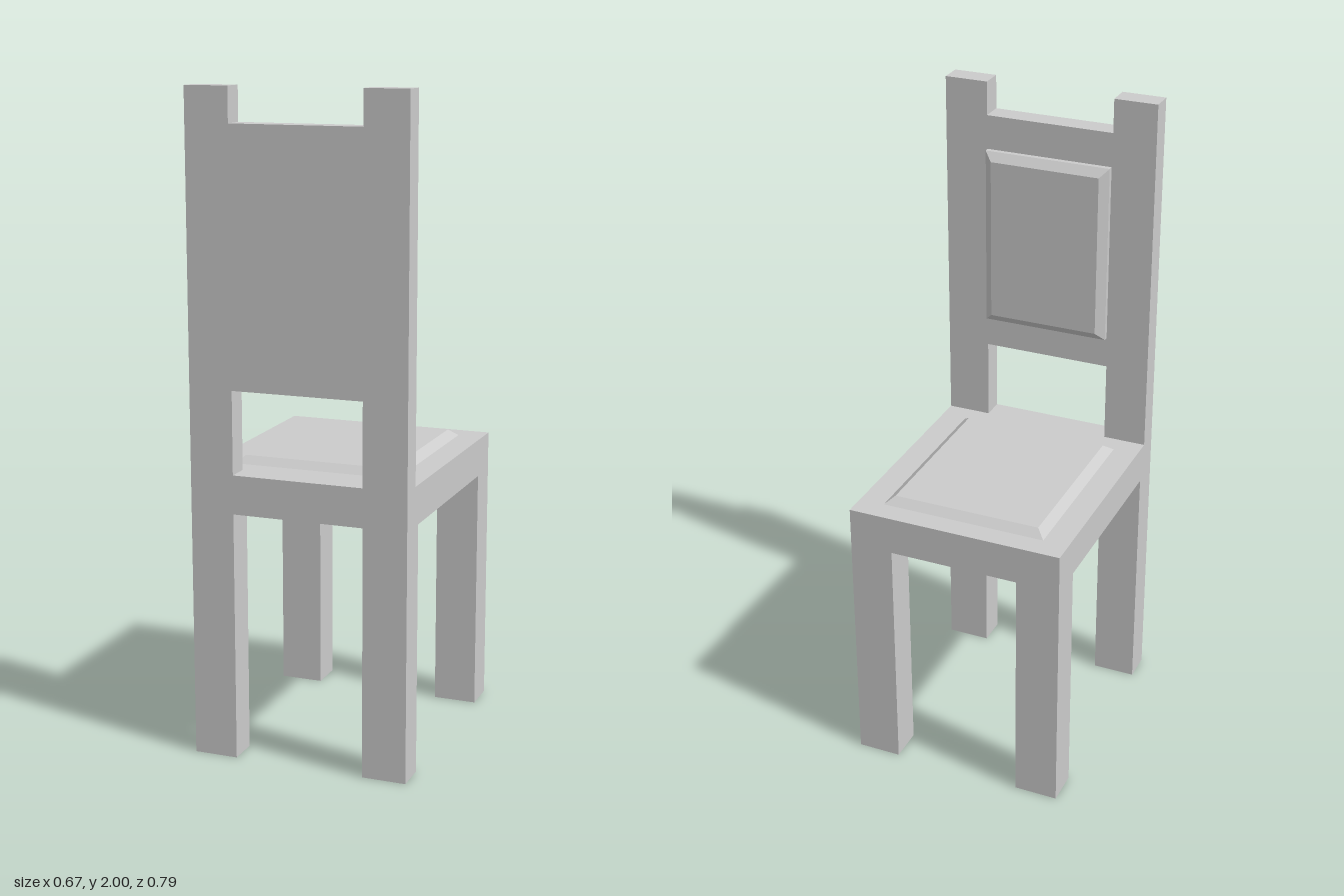
import * as THREE from 'three';

const material = new THREE.MeshStandardMaterial({ color: 0xcccccc, flatShading: true });

// Box given by its [min, max] range on each axis
function block(name, [x0, x1], [y0, y1], [z0, z1]) {
  const geometry = new THREE.BoxGeometry(x1 - x0, y1 - y0, z1 - z0);
  geometry.translate((x0 + x1) / 2, (y0 + y1) / 2, (z0 + z1) / 2);
  const mesh = new THREE.Mesh(geometry, material);
  mesh.name = name;
  return mesh;
}

// Pull one face of a block inwards, turning its sides into bevels
function bevel(mesh, axis, faceValue, inset) {
  const p = mesh.geometry.attributes.position;
  mesh.geometry.computeBoundingBox();
  const centre = mesh.geometry.boundingBox.getCenter(new THREE.Vector3());
  const v = new THREE.Vector3();
  for (let i = 0; i < p.count; i++) {
    v.fromBufferAttribute(p, i);
    if (Math.abs(v[axis] - faceValue) > 1e-4) continue;
    for (const a of ['x', 'y', 'z']) {
      if (a !== axis) v[a] -= Math.sign(v[a] - centre[a]) * inset;
    }
    p.setXYZ(i, v.x, v.y, v.z);
  }
  mesh.geometry.computeVertexNormals();
  return mesh;
}

export function createModel() {
  const chair = new THREE.Group();
  chair.name = 'chair';
  const W = 0.337, IN = 0.202, D = 0.396;
  const seatBottom = 0.762, seatTop = 0.88, backFace = 0.326;

  // Seat slab with a raised, bevelled pad
  chair.add(block('seat', [-W, W], [seatBottom, seatTop], [-D, D]));
  chair.add(bevel(block('seatPad', [-0.258, 0.258], [seatTop, 0.902], [-0.327, 0.261]), 'y', 0.902, 0.027));

  // Legs and back posts, mirrored left and right
  for (const side of [1, -1]) {
    const x = side > 0 ? [IN, W] : [-W, -IN];
    const label = side > 0 ? 'Left' : 'Right';
    chair.add(block('plainLeg' + label, x, [0, seatBottom], [-D, -0.287]));
    chair.add(block('postLeg' + label, x, [0, seatBottom], [0.3, D]));
    chair.add(block('backPost' + label, x, [seatTop, 2], [backFace, D]));
  }

  // Backrest board between the posts
  chair.add(block('backrest', [-IN, IN], [1.132, 1.896], [backFace, D]));

  // Raised panel facing the seat: straight rim, then a bevelled face
  const panel = new THREE.Group();
  panel.name = 'backrestPanel';
  const px = [-0.2, 0.2], py = [1.23, 1.79];
  panel.add(block('panelRim', px, py, [0.31, backFace]));
  panel.add(bevel(block('panelFace', px, py, [0.288, 0.31]), 'z', 0.288, 0.026));
  chair.add(panel);

  return chair;
}
